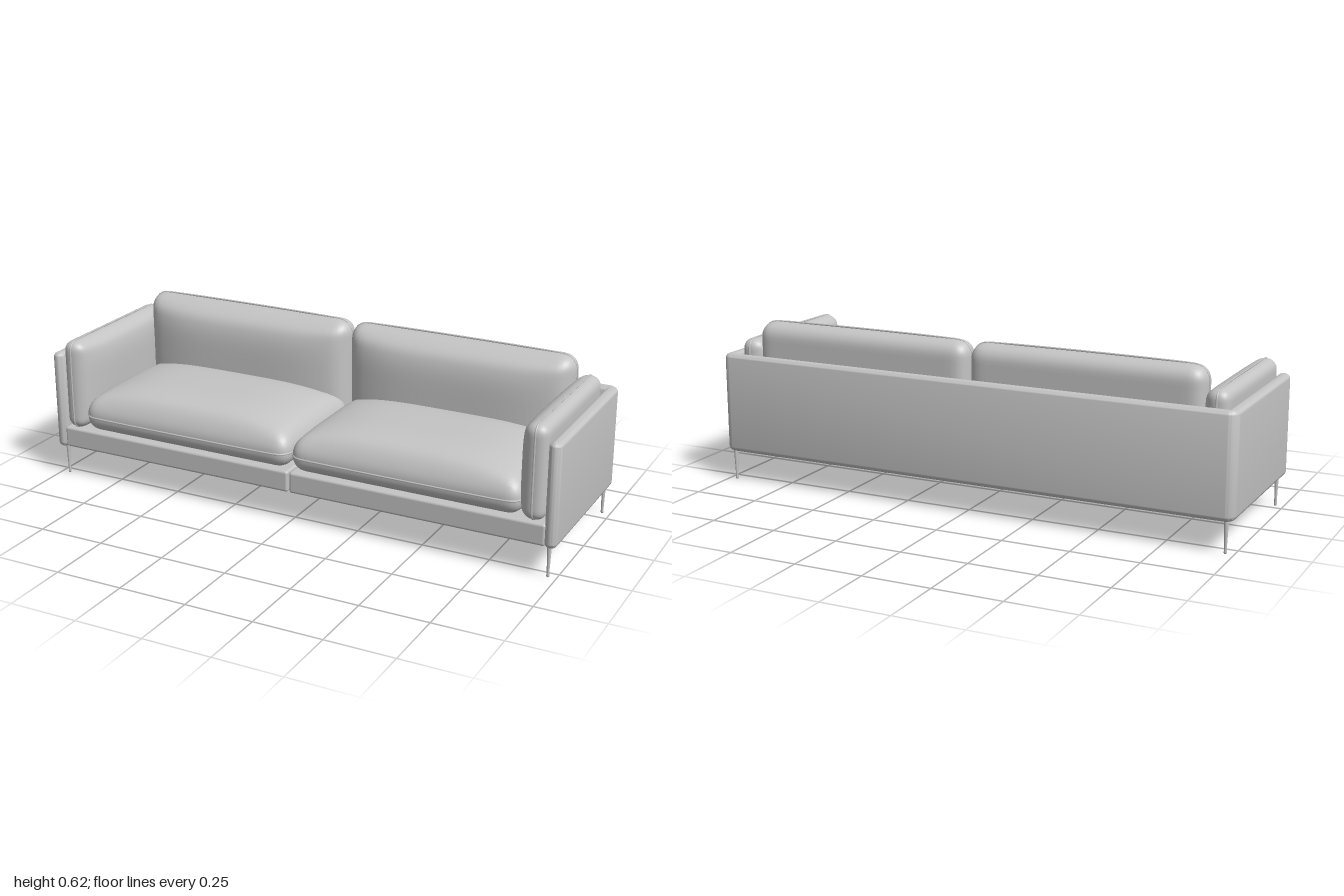
import * as THREE from 'three';
import { mergeVertices, toCreasedNormals } from 'three/addons/utils/BufferGeometryUtils.js';
import { RoundedBoxGeometry } from 'three/addons/geometries/RoundedBoxGeometry.js';

const fabric = new THREE.MeshStandardMaterial({ color: 0xc4c4c4 });
fabric.name = 'greyFabric';

function add(parent, name, geometry) {
  const mesh = new THREE.Mesh(geometry, fabric);
  mesh.name = name;
  parent.add(mesh);
  return mesh;
}

// Rounded pillow lying flat: w along x, h along y, d along z, crowned upwards
function pillowGeometry(w, h, d, crown) {
  const r = h * 0.46;
  const geo = new THREE.BoxGeometry(2, 2, 2, 30, 14, 30);
  geo.deleteAttribute('uv');
  geo.deleteAttribute('normal');
  const pos = geo.attributes.position;
  const half = new THREE.Vector3(w / 2, h / 2, d / 2);
  const inner = half.clone().subScalar(r);
  const p = new THREE.Vector3(), core = new THREE.Vector3();
  const ease = t => Math.sin(t * Math.PI / 2);
  for (let i = 0; i < pos.count; i++) {
    p.fromBufferAttribute(pos, i);
    p.set(ease(p.x), ease(p.y), ease(p.z)).multiply(half);
    core.copy(p).clamp(inner.clone().negate(), inner);
    p.sub(core).setLength(r).add(core);
    const u = p.x / half.x, v = p.z / half.z;
    if (p.y > 0) p.y += crown * (1 - u ** 4) * (1 - v ** 4) * p.y / half.y;
    pos.setXYZ(i, p.x, p.y, p.z);
  }
  const merged = mergeVertices(geo, 1e-5);
  merged.computeVertexNormals();
  return merged;
}

// Piped seam running round the pillow at mid thickness
function seamGeometry(w, h, d) {
  const r = h * 0.46, points = [];
  const corners = [[1, 1], [-1, 1], [-1, -1], [1, -1]];
  corners.forEach(([sx, sz], k) => {
    for (let i = 0; i <= 5; i++) {
      const a = (k + i / 5) * Math.PI / 2;
      points.push(new THREE.Vector3(
        sx * (w / 2 - r) + r * Math.cos(a), 0, sz * (d / 2 - r) + r * Math.sin(a)));
    }
  });
  const path = new THREE.CatmullRomCurve3(points, true);
  return new THREE.TubeGeometry(path, 160, 0.0035, 6, true);
}

function cushion(name, w, h, d, crown) {
  const group = new THREE.Group();
  group.name = name;
  add(group, name + 'Body', pillowGeometry(w, h, d, crown));
  add(group, name + 'Seam', seamGeometry(w, h, d));
  return group;
}

// U-shaped panel forming both arms and the back, with rounded edges
function shellGeometry() {
  const bevel = 0.018, xo = 0.982, xi = 0.973, r = (xo - xi) / 2;
  const front = -0.2875, mid = (xo + xi) / 2;
  const s = new THREE.Shape();
  s.moveTo(-xo, front);
  s.absarc(-mid, front, r, Math.PI, 2 * Math.PI, false);
  s.lineTo(-xi, 0.293);
  s.lineTo(xi, 0.293);
  s.lineTo(xi, front);
  s.absarc(mid, front, r, Math.PI, 2 * Math.PI, false);
  s.lineTo(xo, 0.282);
  s.absarc(xo - 0.02, 0.282, 0.02, 0, Math.PI / 2, false);
  s.absarc(-xo + 0.02, 0.282, 0.02, Math.PI / 2, Math.PI, false);
  const geo = new THREE.ExtrudeGeometry(s, {
    depth: 0.339, bevelEnabled: true, bevelSize: bevel, bevelThickness: bevel,
    bevelSegments: 6, curveSegments: 8
  });
  geo.rotateX(-Math.PI / 2);
  geo.translate(0, 0.115 + bevel, 0);
  return toCreasedNormals(geo, 0.6);
}

// Slim tapered leg with a small foot
function legGeometry() {
  const profile = [[0, 0.002], [0.004, 0.002], [0.0055, 0.006], [0.005, 0.012],
    [0.0045, 0.018], [0.006, 0.06], [0.008, 0.11], [0.008, 0.122], [0, 0.122]];
  return new THREE.LatheGeometry(profile.map(([x, y]) => new THREE.Vector2(x, y)), 14);
}

// Thin wedge bracing the leg against the underside
function bracketGeometry() {
  const s = new THREE.Shape();
  s.moveTo(0, 0.12);
  s.lineTo(0, 0.105);
  s.lineTo(0.055, 0.112);
  s.lineTo(0.055, 0.12);
  const geo = new THREE.ExtrudeGeometry(s, { depth: 0.012, bevelEnabled: false });
  return geo.translate(0, 0, -0.006);
}

export function createModel() {
  const sofa = new THREE.Group();
  sofa.name = 'sofa';

  add(sofa, 'armAndBackShell', shellGeometry());

  for (const side of [1, -1]) {
    const label = side > 0 ? 'left' : 'right';

    // Base half, with a narrow gap at the middle
    add(sofa, label + 'Base', new RoundedBoxGeometry(0.958, 0.08, 0.59, 4, 0.01))
      .position.set(side * 0.482, 0.159, 0.01);

    const seat = cushion(label + 'SeatCushion', 0.868, 0.12, 0.515, 0.06);
    seat.position.set(side * 0.437, 0.26, 0.055);

    const back = cushion(label + 'BackCushion', 0.868, 0.12, 0.413, 0.055);
    back.rotation.x = Math.PI / 2;
    back.position.set(side * 0.437, 0.406, -0.215);

    const arm = cushion(label + 'ArmCushion', 0.342, 0.082, 0.575, 0.03);
    arm.rotation.z = side * Math.PI / 2;
    arm.position.set(side * 0.912, 0.371, 0.023);

    sofa.add(seat, back, arm);

    // Front and rear legs
    for (const z of [0.28, -0.295]) {
      const leg = new THREE.Group();
      leg.name = label + (z > 0 ? 'FrontLeg' : 'RearLeg');
      add(leg, 'legPost', legGeometry());
      add(leg, 'legBracket', bracketGeometry()).rotation.y = Math.sign(z) * Math.PI / 2;
      leg.position.set(side * 0.97, 0, z);
      sofa.add(leg);
    }
  }
  return sofa;
}
